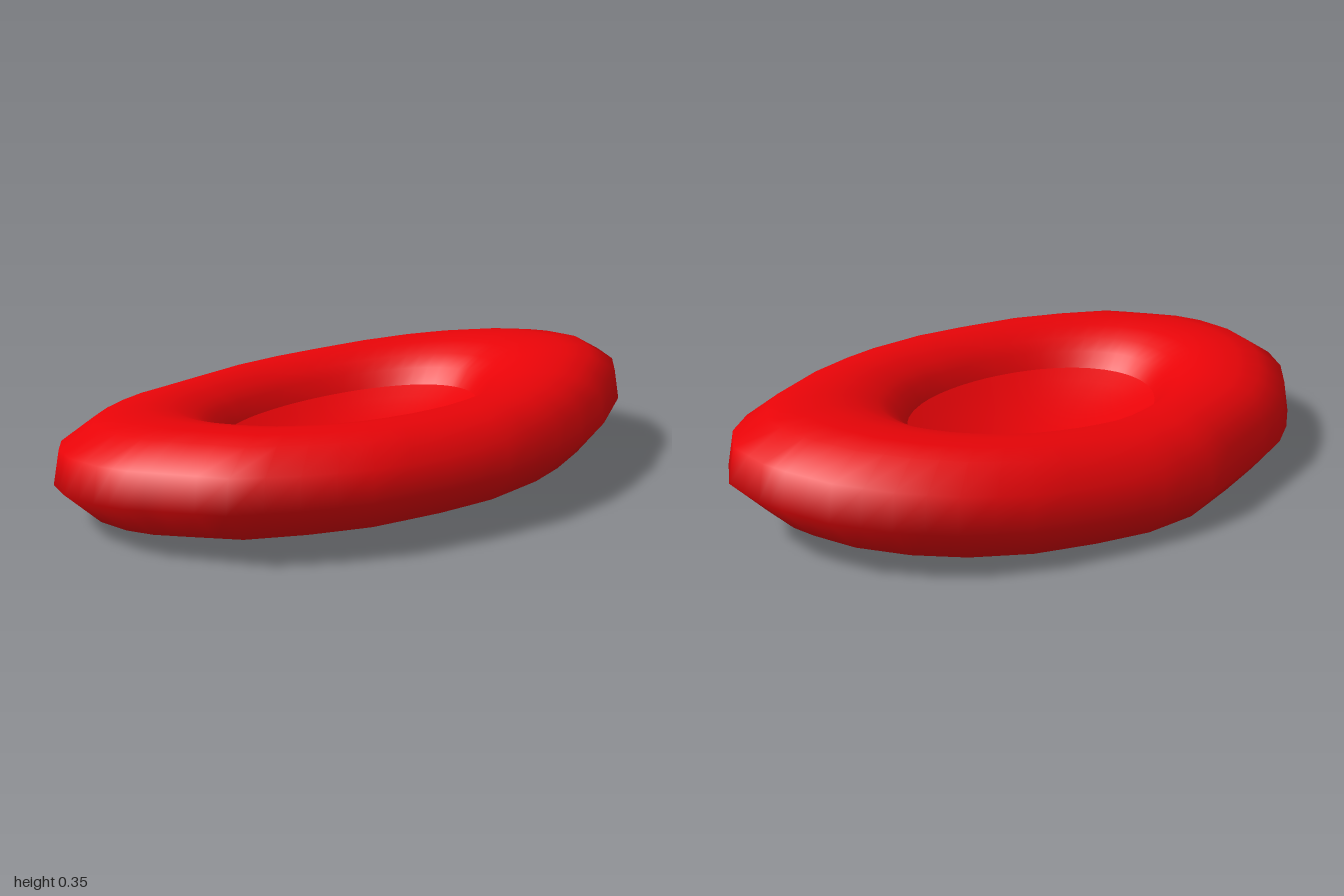
import * as THREE from 'three';

// Outer outline seen from above, as [x, z], running clockwise from the -x end
const OUTLINE = [
  [-1, -0.02], [-0.99, -0.16], [-0.94, -0.28], [-0.86, -0.38], [-0.74, -0.47], [-0.62, -0.54],
  [-0.5, -0.59], [-0.28, -0.63], [-0.02, -0.67], [0.18, -0.65], [0.37, -0.59], [0.57, -0.51],
  [0.74, -0.4], [0.86, -0.28], [0.95, -0.14], [0.99, 0], [1, 0.08], [0.98, 0.23], [0.89, 0.35],
  [0.77, 0.44], [0.5, 0.565], [0.3, 0.625], [0.14, 0.655], [-0.1, 0.66], [-0.3, 0.62],
  [-0.53, 0.55], [-0.7, 0.45], [-0.85, 0.335], [-0.93, 0.18], [-0.98, 0.08],
];
const SUB = 2;
const COUNT = OUTLINE.length * SUB;

// Point on the ring of relative size s at height h; inner rings turn into a clean ellipse
function ringPoint(i, s, h) {
  const a = OUTLINE[Math.floor(i / SUB)];
  const b = OUTLINE[(Math.floor(i / SUB) + 1) % OUTLINE.length];
  const t = (i % SUB) / SUB;
  const ox = a[0] + (b[0] - a[0]) * t;
  const oz = a[1] + (b[1] - a[1]) * t;
  const angle = Math.atan2(oz / 0.66, ox);
  const k = THREE.MathUtils.smoothstep(s, 0.47, 0.88);
  const x = s * THREE.MathUtils.lerp(Math.cos(angle), ox, k) - 0.02 * (1 - k);
  const z = s * THREE.MathUtils.lerp(0.655 * Math.sin(angle), oz, k);
  // The disc leans back and to one side; its long ends lift and the top sags front and back
  const top = h / 0.28;
  const lean = x * (0.013 + 0.007 * top) + z * (0.063 - 0.02 * top);
  const bow = 0.023 * x * x - 0.07 * top * z * z;
  return [x, Math.max(0, 0.038 + h + lean + bow), z];
}

// Skin over a profile of [size, height] rings; size 0 closes to a point
function skin(profile) {
  const pos = [];
  const index = [];
  const rings = profile.map(([s, h]) => {
    const start = pos.length / 3;
    const n = s === 0 ? 1 : COUNT;
    for (let i = 0; i < n; i++) pos.push(...ringPoint(i, s, h));
    return { start, n };
  });
  for (let r = 0; r < profile.length - 1; r++) {
    const lo = rings[r], hi = rings[r + 1];
    for (let i = 0; i < COUNT; i++) {
      const j = (i + 1) % COUNT;
      const a = lo.start + (i % lo.n), b = lo.start + (j % lo.n);
      const c = hi.start + (i % hi.n), d = hi.start + (j % hi.n);
      if (lo.n > 1) index.push(a, c, b);
      if (hi.n > 1) index.push(b, c, d);
    }
  }
  const geo = new THREE.BufferGeometry();
  geo.setAttribute('position', new THREE.Float32BufferAttribute(pos, 3));
  geo.setIndex(index);
  geo.computeVertexNormals();
  return geo;
}

export function createModel() {
  const group = new THREE.Group();
  group.name = 'bloodCell';
  const red = new THREE.MeshStandardMaterial({ color: 0xe80408, side: THREE.DoubleSide });

  // Broad underside, rounded outer wall and swollen rim
  const body = new THREE.Mesh(skin([
    [0, 0], [0.895, 0], [1, 0.098], [0.98, 0.2], [0.875, 0.262],
    [0.79, 0.277], [0.71, 0.28], [0.63, 0.268], [0.56, 0.24], [0.505, 0.205], [0.465, 0.155],
  ]), red);
  body.name = 'roundedRim';

  // Bowl in the middle of the top
  const bowl = [];
  for (let i = 8; i >= 0; i--) {
    const t = i / 8;
    bowl.push([0.465 * t, 0.05 + 0.105 * t * t]);
  }
  const dimple = new THREE.Mesh(skin(bowl), red);
  dimple.name = 'centralDimple';

  group.add(body, dimple);
  return group;
}
